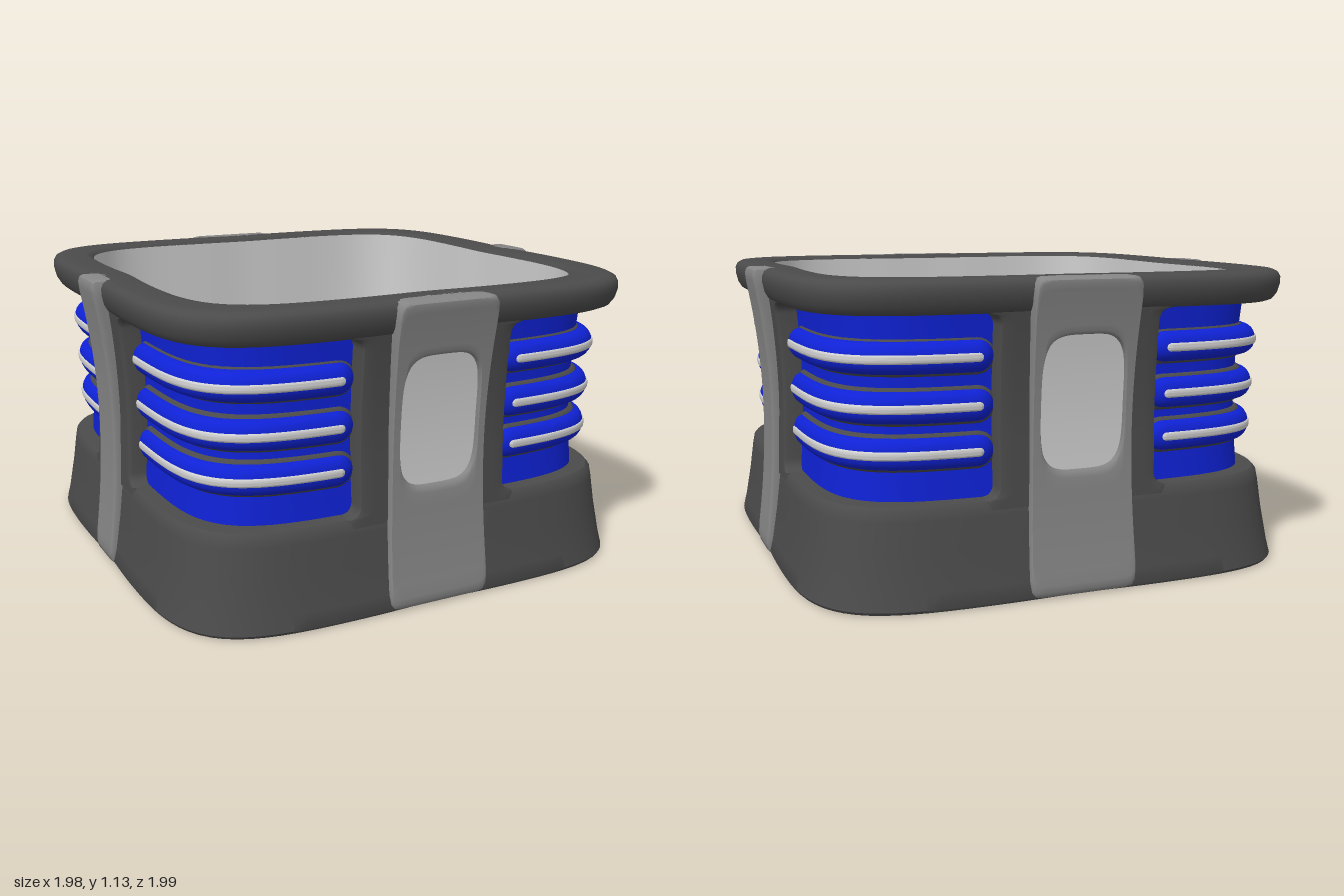
import * as THREE from 'three';
import { mergeVertices, toCreasedNormals } from 'three/addons/utils/BufferGeometryUtils.js';

const N = 5.5; // squareness of the plan outline
const mat = (name, color) => Object.assign(new THREE.MeshStandardMaterial({ color }), { name });

// Smooth surface over a grid of parameters; u cross v points outward
function grid(us, vs, fn) {
  const pos = [], idx = [], w = us.length;
  vs.forEach((v) => us.forEach((u) => pos.push(...fn(u, v))));
  for (let j = 0; j < vs.length - 1; j++) {
    for (let i = 0; i < w - 1; i++) {
      const a = j * w + i, b = a + 1, c = b + w, d = a + w;
      idx.push(a, b, c, a, c, d);
    }
  }
  const g = new THREE.BufferGeometry();
  g.setAttribute('position', new THREE.Float32BufferAttribute(pos, 3));
  g.setIndex(idx);
  return toCreasedNormals(mergeVertices(g, 1e-5), 0.7);
}

const range = (a, b, n) => Array.from({ length: n + 1 }, (_, i) => a + (b - a) * i / n);

// Point on the rounded square of half-size s, angle a measured from +z to +x
function outline(s, a, y, pinch = 0) {
  const c = Math.cos(a), n = Math.sin(a);
  const off = a - Math.round(a / (Math.PI / 2)) * Math.PI / 2;
  const r = (s - pinch * Math.exp(-((off / 0.18) ** 2))) /
    (Math.abs(c) ** N + Math.abs(n) ** N) ** (1 / N);
  return [r * n, y, r * c];
}

// Profile of [half-size, height] swept round the whole outline
const loop = (profile, pinch) =>
  grid(range(0, Math.PI * 2, 160), profile, (a, [s, y]) => outline(s, a, y, s > 0 ? pinch : 0));

// Rounded bar hugging the wall between two angles, with capsule ends
function bar(a0, a1, yc, h, base, depth) {
  const e = h / 0.95, us = [];
  for (let i = 0; i <= 6; i++) us.push([a0 + e * (1 - Math.cos(i * Math.PI / 12)), Math.sin(i * Math.PI / 12)]);
  for (const a of range(a0 + e, a1 - e, 30).slice(1, -1)) us.push([a, 1]);
  for (let i = 6; i >= 0; i--) us.push([a1 - e * (1 - Math.cos(i * Math.PI / 12)), Math.sin(i * Math.PI / 12)]);
  return grid(us, range(-Math.PI / 2, Math.PI / 2, 12), ([a, k], v) =>
    outline(base + depth * Math.sqrt(k) * Math.max(0, Math.cos(v)) ** 0.6, a, yc + h * k * Math.sin(v)));
}

// Concave front line of the straps
const strapZ = (y) => 0.935 + (y < 0.55 ? 0.15 : 0.19) * (y - 0.55) ** 2;

// Point of a squircle in the xy plane
function squircle(a, cy, hw, hh, n) {
  const c = Math.cos(a), s = Math.sin(a);
  const k = (Math.abs(c) ** n + Math.abs(s) ** n) ** (-1 / n);
  return [c * k * hw, cy + s * k * hh];
}

// Curved strap: rings from the opening (or the centre) out to the rim and back
function strap(halfWidth, hole) {
  const rings = hole ? [[0, 0.04], [0, 0.012], [0.02, 0.003]] : [];
  for (const t of range(hole ? 0.06 : 0, 0.9, 8)) rings.push([t, 0]);
  rings.push([0.95, 0.003], [0.985, 0.012], [1, 0.026], [1, 0.1]);
  return grid(range(0, -Math.PI * 2, 120), rings, (a, [t, d]) => {
    const [ix, iy] = squircle(a, 0.69, hole ? 0.162 : 0, hole ? 0.24 : 0, 4);
    const [ox, oy] = squircle(a, 0.567, halfWidth, 0.563, 18);
    const y = iy + (oy - iy) * t;
    const flare = 1 + 0.08 * ((oy - 0.6) / 0.55) ** 2 * t;
    return [(ix + (ox - ix) * t) * flare, y, strapZ(y) - d];
  });
}

// Pillar between two windows, widened at its ends to round the window corners
function pillar(halfWidth) {
  const y0 = 0.36, y1 = 1.01, f = 0.045;
  const ys = [0.33, ...range(y0, y0 + f, 5), ...range(y0 + f, y1 - f, 10).slice(1), ...range(y1 - f, y1, 5).slice(1), 1.03];
  const cols = [[-1, 0.1, 0], [-1, 0.015, 0], [-1, 0.004, 0.006], ...range(-0.93, 0.93, 16).map((t) => [t, 0, 0]),
    [1, 0.004, 0.006], [1, 0.015, 0], [1, 0.1, 0]];
  return grid(cols, ys, ([t, d, inset], y) => {
    const near = Math.max(0, Math.min(y - y0, y1 - y));
    const fillet = near < f ? f - Math.sqrt(f * f - (f - near) ** 2) : 0;
    const x = t * (halfWidth + fillet) - Math.sign(t) * inset;
    const s = 0.905 + 0.04 * Math.max(0, 0.6 - y) + 0.16 * Math.max(0, y - 0.6) ** 2;
    return [x, y, s * (1 - (Math.abs(x) / s) ** N) ** (1 / N) - d];
  });
}

export function createModel() {
  const model = new THREE.Group();
  const dark = mat('charcoal', 0x4b4b4b);
  const grey = mat('mid grey', 0x868686);
  const light = mat('light grey', 0xd0d0d0);
  const blue = mat('blue', 0x0f22d6);
  const add = (name, geometry, material, turn = 0) => {
    const mesh = new THREE.Mesh(geometry, material);
    mesh.name = name;
    mesh.rotation.y = turn;
    model.add(mesh);
  };

  // Flared base with a ledge below the windows
  add('base', loop([[0, 0], [0.5, 0], [0.945, 0], [0.96, 0.004], [0.965, 0.014], [0.953, 0.07], [0.932, 0.2],
    [0.918, 0.31], [0.912, 0.345], [0.9, 0.36], [0.82, 0.365]], 0.008), dark);

  // Overhanging rim
  add('rim', loop([[0.82, 1.01], [0.925, 1.01], [0.942, 1.018], [0.955, 1.04], [0.963, 1.075], [0.963, 1.1],
    [0.955, 1.118], [0.938, 1.128], [0.92, 1.13], [0.84, 1.13], [0.822, 1.127], [0.812, 1.115]], 0.01), dark);

  // Hollow inside: walls and floor
  add('lining', loop([[0.812, 1.116], [0.812, 0.6], [0.812, 0.08], [0.79, 0.05], [0.4, 0.05], [0, 0.05]], -0.008), light);

  // Blue wall behind the windows
  add('windowWall', loop([[0.85, 0.35], [0.838, 0.5], [0.832, 0.65], [0.838, 0.85], [0.852, 1.02]], 0), blue);

  // Pillars and straps on the four sides
  for (let k = 0; k < 4; k++) {
    const wide = k % 2 === 0, turn = k * Math.PI / 2;
    add('pillar', pillar(wide ? 0.305 : 0.205), dark, turn);
    add('strap', strap(wide ? 0.193 : 0.098, wide), grey, turn);
    if (wide) {
      add('strapInset', grid(range(0, -Math.PI * 2, 80), range(0, 1, 6), (a, t) => {
        const [x, y] = squircle(a, 0.69, 0.166 * t, 0.244 * t, 4);
        return [x, y, strapZ(y) - 0.022];
      }), light, turn);
    }
  }

  // Three striped ridges round each corner
  const start = 0.343, end = 1.335;
  for (const [a0, a1] of [[start, end], [-end, -start], [start + Math.PI, end + Math.PI], [Math.PI - end, Math.PI - start]]) {
    [[0.86, 0.894], [0.69, 0.886], [0.53, 0.882]].forEach(([y, top]) => {
      add('ridgeSurround', bar(a0 - 0.008, a1 + 0.008, y, 0.068, 0.825, 0.035), dark);
      add('ridge', bar(a0, a1, y, 0.057, 0.83, top - 0.83), blue);
      add('ridgeStripe', bar(a0 + 0.035, a1 - 0.035, y, 0.016, top - 0.004, 0.008), light);
    });
  }
  return model;
}
